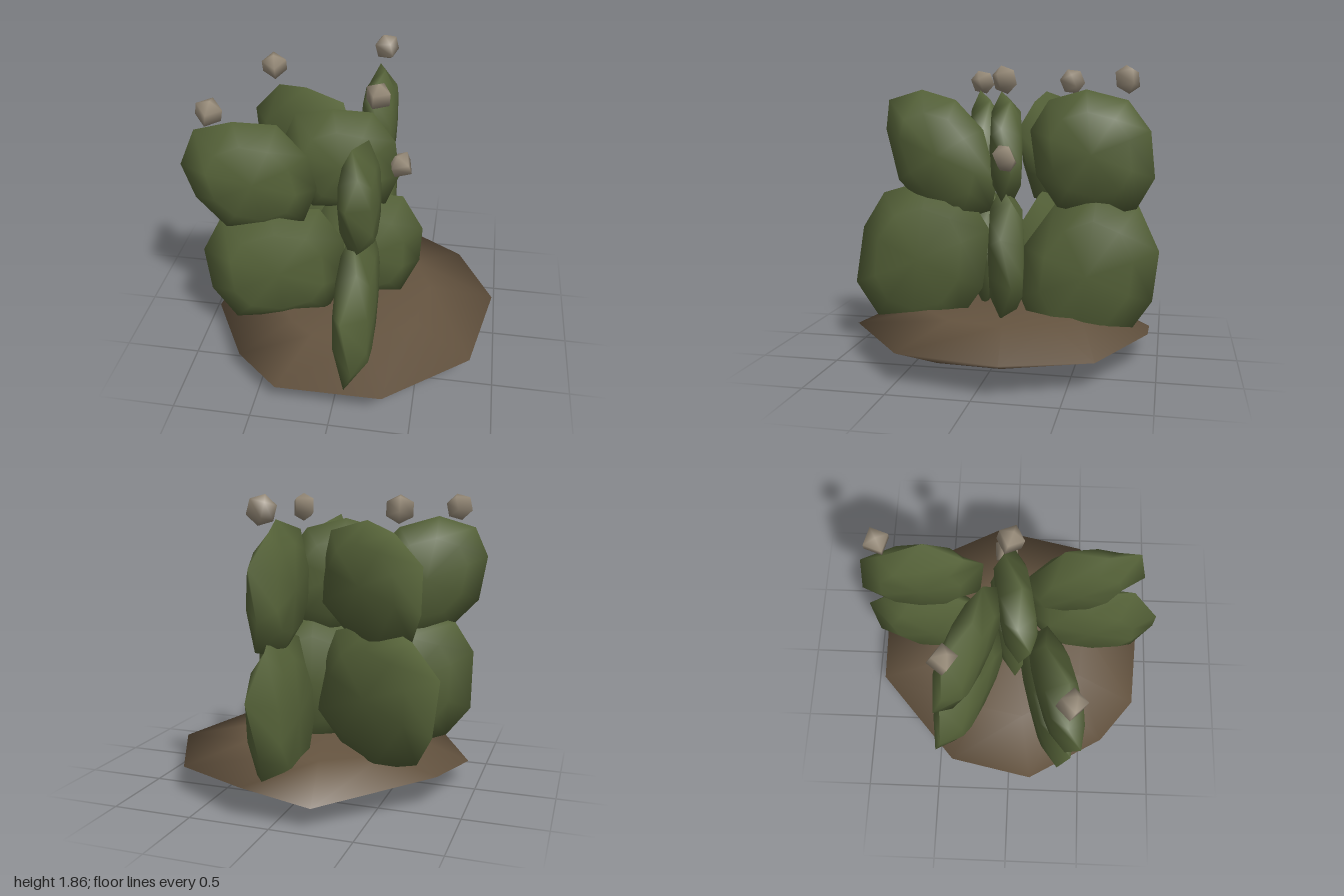
import * as THREE from 'three';
import { mergeVertices } from 'three/addons/utils/BufferGeometryUtils.js';

const green = new THREE.MeshStandardMaterial({ name: 'cactus green', color: 0x566339 });
const brown = new THREE.MeshStandardMaterial({ name: 'soil brown', color: 0x655440 });
const tan = new THREE.MeshStandardMaterial({ name: 'bud tan', color: 0x978b79 });

// Smooth skin through counter-clockwise rings of [x, y, z], stacked along +z
function loft(rings) {
  const n = rings[0].length, index = [];
  for (let s = 0; s < rings.length - 1; s++) {
    for (let i = 0; i < n; i++) {
      const a = s * n + i, b = s * n + (i + 1) % n;
      index.push(a, b, b + n, a, b + n, a + n);
    }
  }
  let geo = new THREE.BufferGeometry();
  geo.setAttribute('position', new THREE.Float32BufferAttribute(rings.flat(2), 3));
  geo.setIndex(index);
  geo = mergeVertices(geo, 1e-4);
  geo.computeVertexNormals();
  return geo;
}

// Thick lens-shaped pad: a ten-sided rounded outline between two sides, bottom and top,
// with a zigzag rim. lean shifts the top sideways, power below 1 makes it squarer.
function padGeometry({ sides, heights, lean, power }, stretch, half) {
  const [cx, cy] = [sides, heights].map(([a, b]) => (a + b) / 2);
  const [rx, ry] = [sides, heights].map(([a, b]) => (b - a) / 2);
  const bulge = t => Math.sign(t) * Math.abs(t) ** power;
  const outline = Array.from({ length: 10 }, (_, i) => {
    const angle = (i + 0.5) * Math.PI / 5;
    const v = bulge(Math.sin(angle));
    return [bulge(Math.cos(angle)) * rx + lean * v, v * ry];
  });
  const steps = [[0, -1], [0.65, -0.87], [1, 0], [0.65, 0.87], [0, 1]];
  return loft(steps.map(([k, w]) => outline.map(([x, y], i) => {
    const zigzag = k === 1 ? 0.28 * (-1) ** i : 0;
    return [(cx + x * k) * stretch, cy + y * k, (w + zigzag) * half];
  })));
}

const pad = (sides, heights, lean, power) => ({ sides, heights, lean, power });
const H = Math.PI / 2;
const slant = slope => ({ angle: Math.atan(slope), stretch: Math.hypot(1, slope) });

// Upright planes fanning out from the middle, two pads each
const stems = [
  {
    name: 'frontStem', angle: -H, stretch: 1, at: [0.11, 0, 0],
    lower: pad([0.09, 1], [0.1, 1.13], -0.05, 0.88),
    upper: pad([0.07, 0.75], [0.87, 1.71], 0.13, 0.8),
  },
  {
    name: 'backStem', angle: H, stretch: 1, at: [0.1, 0, 0],
    lower: pad([0.1, 1], [0, 1.09], 0.06, 1),
    upper: pad([0.18, 0.96], [0.91, 1.71], -0.04, 0.85),
  },
  {
    name: 'frontRightStem', ...slant(0.28), at: [0, 0, 0.11],
    lower: pad([-0.92, -0.02], [0.16, 1.09], -0.02, 0.78),
    upper: pad([-0.97, -0.21], [0.91, 1.71], -0.08, 0.9),
  },
  {
    name: 'backRightStem', ...slant(-0.44), at: [0, 0, -0.1],
    lower: pad([-0.85, 0.02], [0.17, 1.09], 0, 0.88),
    upper: pad([-0.74, 0], [0.92, 1.7], 0.05, 0.9),
  },
  {
    name: 'leftStem', ...slant(0.2), at: [0, 0, 0],
    lower: pad([-0.3, 0.47], [0.2, 1.1], 0, 0.9),
    upper: pad([-0.43, 0.29], [0.95, 1.7], -0.05, 0.82),
  },
];

// Soil disc rim: x, z, height
const rim = [[-0.83, -0.4, 0.2], [-0.93, 0.15, 0.13], [-0.65, 0.65, 0.17], [-0.36, 0.88, 0.15],
  [0.32, 0.92, 0.2], [0.84, 0.49, 0.19], [0.97, -0.15, 0.2], [0.72, -0.66, 0.17],
  [0.2, -0.94, 0.2], [-0.23, -0.94, 0.13]];

// Irregular disc with a gently tilted top and underside
function soilGeometry() {
  const inner = (k, height) => rim.map(([x, z]) => [x * k, -z * k, height(x * k, z * k)]);
  return loft([
    inner(0, () => 0.055),
    inner(0.65, (x, z) => 0.06 - 0.05 * z),
    rim.map(([x, z, y]) => [x, -z, y]),
    inner(0.55, x => 0.265 + 0.06 * x),
    inner(0, () => 0.28),
  ]);
}

export function createModel() {
  const model = new THREE.Group();
  model.name = 'pricklyPear';

  const soil = new THREE.Mesh(soilGeometry(), brown);
  soil.name = 'soil';
  soil.rotation.x = -H;
  model.add(soil);

  for (const { name, angle, stretch, at, lower, upper } of stems) {
    const stem = new THREE.Group();
    stem.name = name;
    stem.position.set(...at);
    stem.rotation.y = angle;
    const lowerPad = new THREE.Mesh(padGeometry(lower, stretch, 0.12), green);
    lowerPad.name = 'lowerPad';
    const upperPad = new THREE.Mesh(padGeometry(upper, stretch, 0.11), green);
    upperPad.name = 'upperPad';
    stem.add(lowerPad, upperPad);
    model.add(stem);
  }

  // Blocky buds hovering over the pads
  const budGeometry = new THREE.SphereGeometry(0.09, 4, 3);
  const buds = [[0.11, 1.77, -0.78], [-0.57, 1.77, -0.36], [-0.79, 1.77, 0.34],
    [0.15, 1.77, -0.02], [0.3, 1.29, -0.05]];
  buds.forEach((p, i) => {
    const bud = new THREE.Mesh(budGeometry, tan);
    bud.name = 'bud';
    bud.position.set(...p);
    bud.rotation.set(0.15 * i, 0.5 + 1.3 * i, 0.25);
    model.add(bud);
  });
  return model;
}
